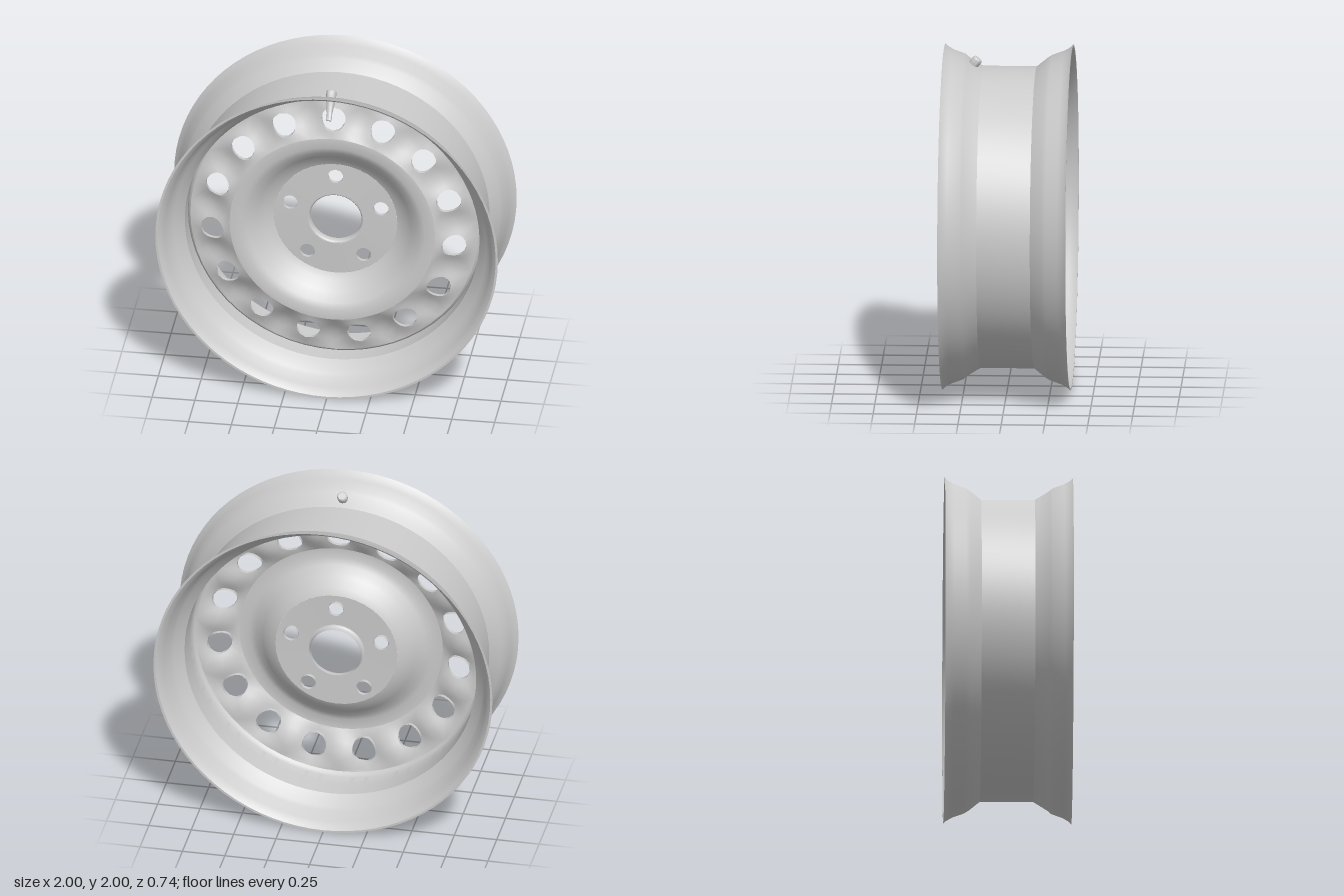
import * as THREE from 'three';
import { mergeVertices, toCreasedNormals } from 'three/addons/utils/BufferGeometryUtils.js';

const material = new THREE.MeshStandardMaterial({ color: 0xcccccc, side: THREE.DoubleSide });

function part(name, geometry) {
  const mesh = new THREE.Mesh(geometry, material);
  mesh.name = name;
  return mesh;
}

// Revolve [radius, z] pairs around the wheel axis (z).
function revolve(profile, segments = 72, crease = 0.5) {
  const points = profile.map(([r, z]) => new THREE.Vector2(r, z));
  return toCreasedNormals(new THREE.LatheGeometry(points, segments).rotateX(Math.PI / 2), crease);
}

// Pressed disc section: [radius, z], from hub to outer flange.
const DISC = [
  [0.15, 0.02], [0.36, 0.015], [0.40, 0.035], [0.45, 0.085], [0.50, 0.13],
  [0.54, 0.148], [0.60, 0.145], [0.66, 0.13], [0.78, 0.09], [0.84, 0.065],
];

function discZ(r) {
  let i = 1;
  while (i < DISC.length - 1 && DISC[i][0] < r) i++;
  const [r0, z0] = DISC[i - 1];
  const [r1, z1] = DISC[i];
  return THREE.MathUtils.mapLinear(r, r0, r1, z0, z1);
}

// Ring of equal sectors, each with a round hole whose rim is turned back.
function perforatedRing({ rIn, rOut, count, holeAt, holeR, side, rows, height }) {
  const position = [];
  const index = [];
  const around = side * 4;
  const half = Math.PI / count;
  for (let s = 0; s < count; s++) {
    const middle = Math.PI / 2 + s * 2 * half;
    const base = position.length / 3;
    for (let row = -1; row <= rows; row++) {
      const t = Math.max(row, 0) / rows;
      for (let k = 0; k < around; k++) {
        // Walk the sector border: inner, right, outer and left edges.
        const edge = Math.floor(k / side);
        const f = (k % side) / side;
        const u = [f, 1, 1 - f, 0][edge] * 2 - 1;
        const v = [0, f, 1, 1 - f][edge];
        const r = rIn + (rOut - rIn) * v;
        const a = u * half;
        const bx = r * Math.cos(a), by = r * Math.sin(a);
        const dir = Math.atan2(by, bx - holeAt);
        const x = THREE.MathUtils.lerp(holeAt + holeR * Math.cos(dir), bx, t);
        const y = THREE.MathUtils.lerp(holeR * Math.sin(dir), by, t);
        const z = height(Math.hypot(x, y), Math.atan2(y, x)) - (row < 0 ? 0.022 : 0);
        const c = Math.cos(middle), n = Math.sin(middle);
        position.push(x * c - y * n, x * n + y * c, z);
      }
    }
    for (let row = 0; row <= rows; row++) {
      for (let k = 0; k < around; k++) {
        const a = base + row * around + k;
        const b = base + row * around + (k + 1) % around;
        index.push(a, b, a + around, b, b + around, a + around);
      }
    }
  }
  // Border runs counter-clockwise in (r, angle), so flip to face +z.
  for (let i = 0; i < index.length; i += 3) {
    const [a, b, c] = index.slice(i, i + 3).map((j) => j * 3);
    const area = (position[b] - position[a]) * (position[c + 1] - position[a + 1])
      - (position[c] - position[a]) * (position[b + 1] - position[a + 1]);
    if (area < -1e-9) [index[i + 1], index[i + 2]] = [index[i + 2], index[i + 1]];
  }
  const geometry = new THREE.BufferGeometry();
  geometry.setAttribute('position', new THREE.Float32BufferAttribute(position, 3));
  geometry.setIndex(index);
  return toCreasedNormals(mergeVertices(geometry, 1e-4), 0.7);
}

export function createModel() {
  const wheel = new THREE.Group();
  wheel.name = 'steelWheel';

  // Barrel with flared lips and a drop centre
  const outer = [
    [1.0, 0.37], [0.985, 0.355], [0.965, 0.32], [0.94, 0.25], [0.925, 0.235], [0.885, 0.17], [0.873, 0.15],
    [0.873, -0.16], [0.885, -0.175], [0.925, -0.225], [0.94, -0.25], [0.965, -0.32], [0.985, -0.355], [1.0, -0.37],
  ];
  const inner = outer.map(([r, z]) => [r - 0.013, z]).reverse();
  wheel.add(part('rimBarrel', revolve([...outer, ...inner, outer[0]], 80)));

  // Disc: hub plate, dished wall, vented ring and flange
  const disc = new THREE.Group();
  disc.name = 'disc';
  disc.add(part('hubPlate', perforatedRing({
    rIn: 0.16, rOut: 0.36, count: 5, holeAt: 0.28, holeR: 0.044, side: 8, rows: 4, height: discZ,
  })));
  disc.add(part('hubCollar', revolve([[0.165, 0.02], [0.155, 0.016], [0.15, 0.005], [0.15, -0.02]], 40, 1)));
  disc.add(part('dishedWall', revolve(DISC.filter(([r]) => r >= 0.36 && r <= 0.6), 60, 1)));

  // The ring sinks between neighbouring holes
  const dip = (r, a) => 0.04 * Math.sin(Math.PI * THREE.MathUtils.clamp((r - 0.6) / 0.24, 0, 1))
    * (1 - Math.cos(15 * a)) / 2;
  disc.add(part('ventedRing', perforatedRing({
    rIn: 0.6, rOut: 0.84, count: 15, holeAt: 0.71, holeR: 0.07, side: 4, rows: 4,
    height: (r, a) => discZ(r) - dip(r, a),
  })));
  disc.add(part('discFlange', revolve([[0.84, 0.065], [0.852, 0.055], [0.86, 0.035], [0.86, -0.04]], 60, 1)));
  wheel.add(disc);

  // Valve, slanting through the barrel towards the front
  const stem = [[0, -0.09], [0.016, -0.09], [0.016, -0.05], [0.027, 0.03], [0.03, 0.05], [0.03, 0.08], [0.024, 0.088], [0, 0.088]];
  const valve = part('valve', toCreasedNormals(
    new THREE.LatheGeometry(stem.map(([r, h]) => new THREE.Vector2(r, h)), 10), 0.8));
  valve.position.set(0, 0.87, 0.225);
  valve.rotation.x = -0.66;
  wheel.add(valve);

  wheel.position.y = 1;
  const model = new THREE.Group();
  model.name = 'wheel';
  model.add(wheel);
  return model;
}
